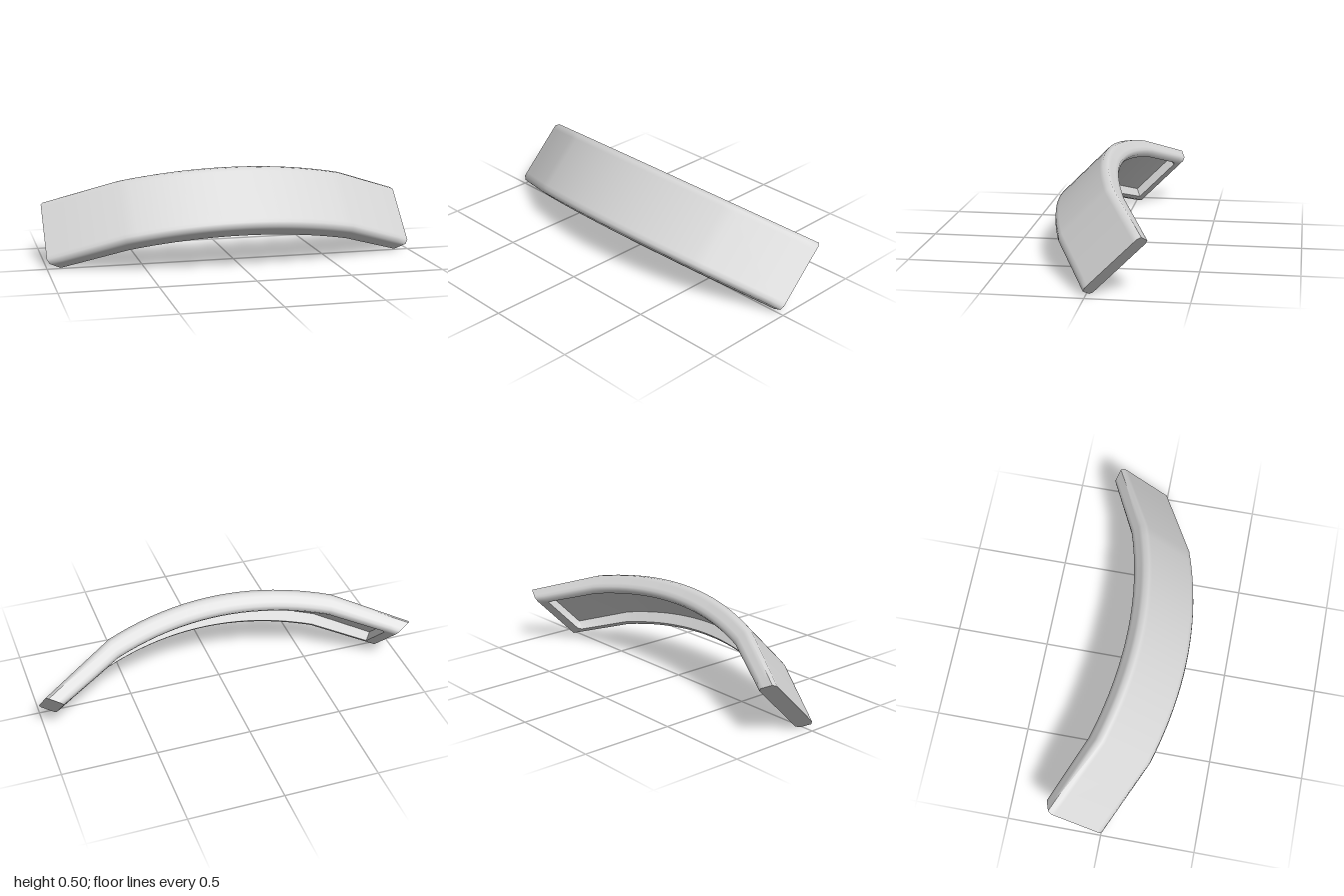
import * as THREE from 'three';
import { toCreasedNormals } from 'three/addons/utils/BufferGeometryUtils.js';

// Directions as [y, z]: across the width, through the thickness, and the slanted bow
const ACROSS = [0.702, -0.702];
const THROUGH = [0.7, 0.71];
const BOW = [0.58, 0.81];
const THICKNESS = 0.11;

// Half section: [distance from the middle, share of the thickness from outer to inner face]
const HALF = [
  [0.153, 0], [0.175, 0], [0.195, 0.16], [0.195, 0.36],
  [0.195, 0.65], [0.195, 0.85], [0.177, 1], [0.152, 1],
];
const FLOOR_HALF = 0.138;
const FLOOR_DEPTH = 0.46;

// Outer and inner points [x, bow] at t in -1..1: a shallow arc, then straight ends
function profile(t) {
  const a = Math.abs(t), side = Math.sign(t), k = 0.6;
  const trace = (kinkX, sag, endX, endSag) => {
    if (a <= k) {
      const f = a / k;
      return [side * kinkX * f, -sag * f * f];
    }
    const f = (a - k) / (1 - k);
    return [side * (kinkX + (endX - kinkX) * f), -sag - (endSag - sag) * f];
  };
  return [trace(0.615, 0.12, 1, 0.357), trace(0.585, 0.112, 0.915, 0.298)];
}

// One closed ring of the bar; the recess floor rises to the rim when not hollow
function ring(t, hollow) {
  const [o, i] = profile(t);
  const half = [...HALF, [FLOOR_HALF, hollow ? FLOOR_DEPTH : 1]];
  const section = [...half, ...half.map(([u, s]) => [-u, s]).reverse()];
  return section.map(([u, s]) => {
    const x = o[0] + (i[0] - o[0]) * s;
    const d = o[1] + (i[1] - o[1]) * s;
    const [y, z] = [0, 1].map((q) => u * ACROSS[q] + d * BOW[q] - s * THICKNESS * THROUGH[q]);
    return [x, y, z];
  });
}

function barGeometry() {
  // Stations along one half, mirrored to the other
  const stations = [];
  for (let n = 0; n <= 10; n++) stations.push([0.06 * n, true]);
  stations.push([0.92, true], [0.94, false], [1, false]);
  const all = [...stations.slice(1).reverse().map(([t, h]) => [-t, h]), ...stations];

  const rings = all.map(([t, h]) => ring(t, h));
  const n = rings[0].length;
  const points = rings.flat();
  const index = [];
  for (let r = 0; r < rings.length - 1; r++) {
    for (let j = 0; j < n; j++) {
      const a = r * n + j, b = r * n + (j + 1) % n;
      index.push(a, a + n, b, b, a + n, b + n);
    }
  }
  // Flat end caps
  for (const r of [0, rings.length - 1]) {
    const c = points.length;
    points.push([0, 1, 2].map((q) => rings[r].reduce((sum, p) => sum + p[q], 0) / n));
    for (let j = 0; j < n; j++) {
      const a = r * n + j, b = r * n + (j + 1) % n;
      if (r === 0) index.push(c, a, b);
      else index.push(c, b, a);
    }
  }

  const geometry = new THREE.BufferGeometry();
  geometry.setAttribute('position', new THREE.Float32BufferAttribute(points.flat(), 3));
  geometry.setIndex(index);

  // Stand on the ground, centred in depth
  geometry.computeBoundingBox();
  const { min, max } = geometry.boundingBox;
  geometry.translate(0, -min.y, -(min.z + max.z) / 2);
  return toCreasedNormals(geometry, 0.95);
}

export function createModel() {
  const group = new THREE.Group();
  group.name = 'curvedBar';
  const lightGrey = new THREE.MeshStandardMaterial({ color: 0xd6d6d6 });
  lightGrey.name = 'lightGrey';
  const shell = new THREE.Mesh(barGeometry(), lightGrey);
  shell.name = 'hollowBackedShell';
  group.add(shell);
  return group;
}
